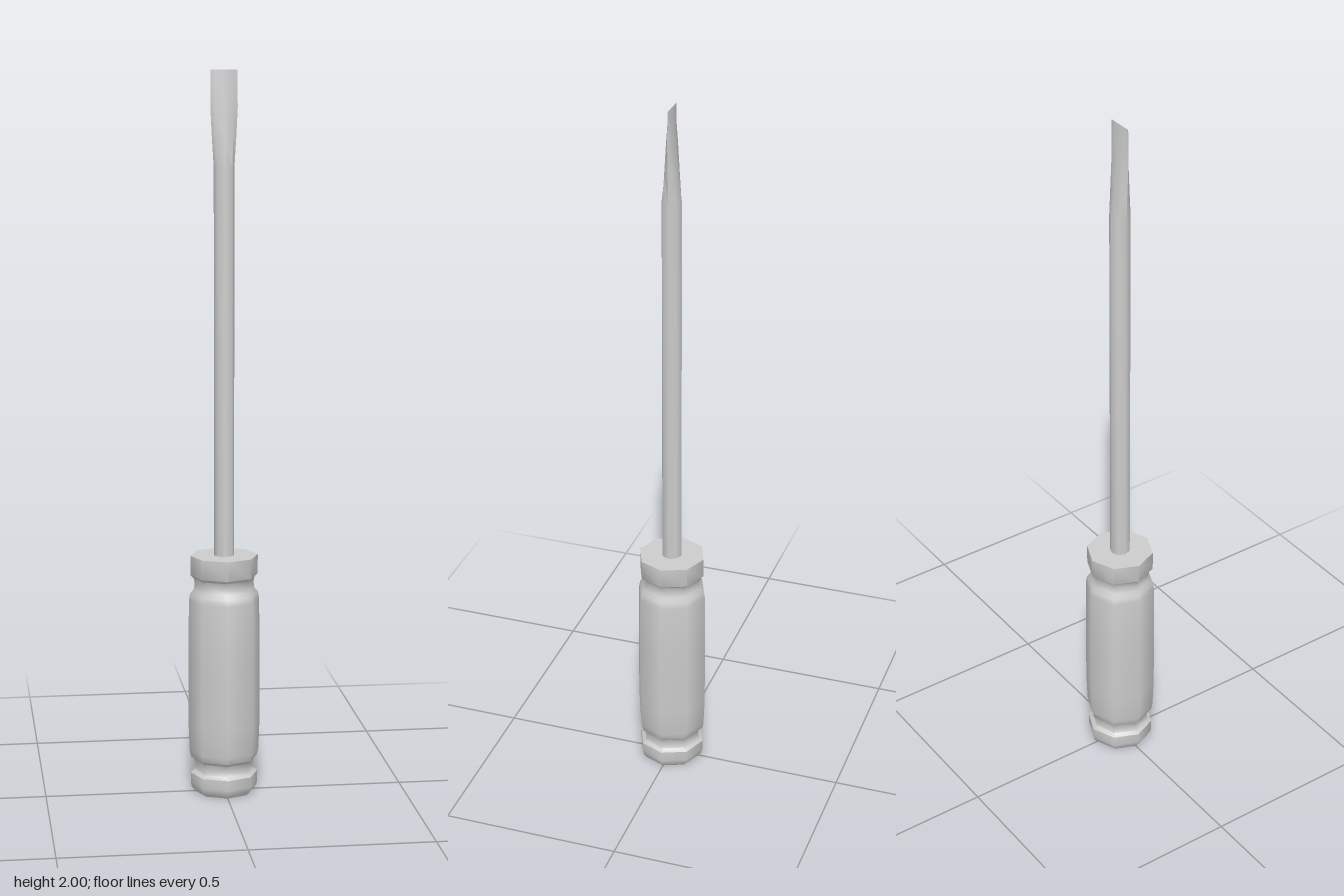
import * as THREE from 'three';
import { toCreasedNormals } from 'three/addons/utils/BufferGeometryUtils.js';

const SIDES = 8;
const material = new THREE.MeshStandardMaterial({ color: 0xcccccc });

// Eight-sided solid from rings [half width in x, half depth in z, y], bottom to top
function ringSolid(name, rings) {
  const geometry = new THREE.LatheGeometry(rings.map(([w, , y]) => new THREE.Vector2(w, y)), SIDES);
  const pos = geometry.attributes.position;
  for (let i = 0; i < pos.count; i++) {
    const [w, d] = rings[i % rings.length];
    if (w > 0) pos.setZ(i, pos.getZ(i) * d / w);
  }
  const mesh = new THREE.Mesh(toCreasedNormals(geometry, 0.9), material);
  mesh.name = name;
  return mesh;
}

const round = (profile) => profile.map(([r, y]) => [r, r, y]);

export function createModel() {
  const group = new THREE.Group();
  group.name = 'screwdriver';

  // Grip with end knob, two grooves, swelling body and top collar
  group.add(ringSolid('handle', round([
    [0, 0], [0.081, 0], [0.091, 0.012], [0.094, 0.025], [0.094, 0.054],
    [0.083, 0.062], [0.08, 0.075], [0.083, 0.092],
    [0.093, 0.1], [0.097, 0.12], [0.1, 0.2], [0.1, 0.4], [0.098, 0.55], [0.095, 0.568],
    [0.085, 0.58], [0.082, 0.597], [0.085, 0.612],
    [0.094, 0.62], [0.094, 0.675], [0, 0.675],
  ])));

  // Rod that flares sideways and thins to a flat tip
  group.add(ringSolid('shaftAndBlade', [
    [0.028, 0.028, 0.66], [0.028, 0.028, 1.74],
    [0.033, 0.019, 1.82], [0.037, 0.011, 1.9],
    [0.036, 0.001, 2], [0, 0, 2],
  ]));

  return group;
}
